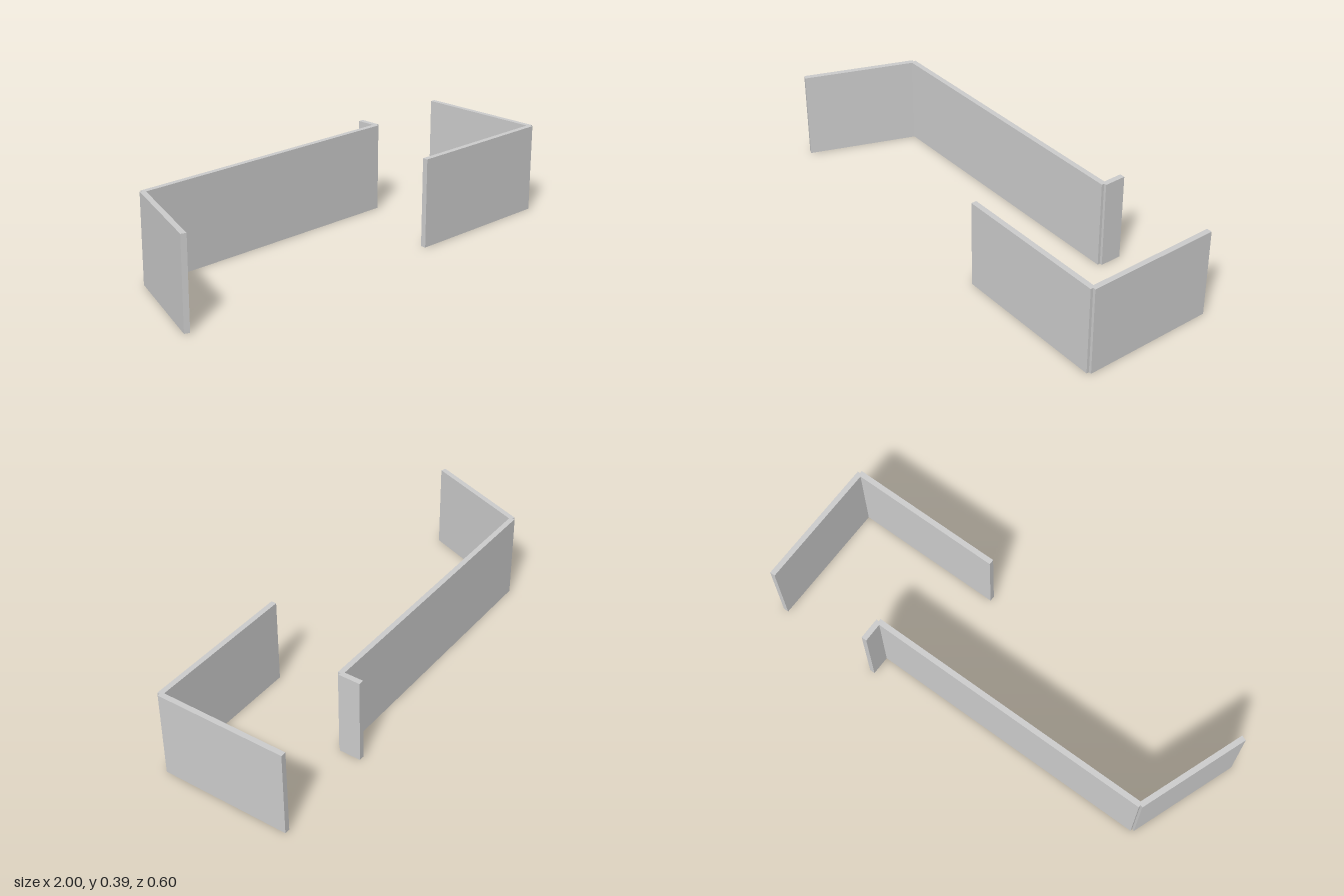
import * as THREE from 'three';

const HEIGHT = 0.394;
const THICKNESS = 0.024;

export function createModel() {
  const model = new THREE.Group();
  model.name = 'wallLayout';
  const plaster = new THREE.MeshStandardMaterial({ color: 0xcccccc });
  plaster.name = 'light grey plaster';

  // Straight wall centred on the floor line from (x1, z1) to (x2, z2)
  function addWall(name, x1, z1, x2, z2) {
    const dx = x2 - x1, dz = z2 - z1;
    const wall = new THREE.Mesh(new THREE.BoxGeometry(Math.hypot(dx, dz), HEIGHT, THICKNESS), plaster);
    wall.name = name;
    wall.position.set((x1 + x2) / 2, HEIGHT / 2, (z1 + z2) / 2);
    wall.rotation.y = -Math.atan2(dz, dx);
    model.add(wall);
  }

  // Long back run with a slanted wing and a short return
  addWall('slantedWing', -0.988, 0.272, -0.812, -0.202);
  addWall('backWall', -0.812, -0.202, 0.5, -0.202);
  addWall('shortReturn', 0.5, -0.202, 0.5, -0.3);

  // Separate L-shaped corner
  addWall('frontWall', 0.285, 0.288, 0.988, 0.288);
  addWall('sideWall', 0.988, 0.288, 0.988, -0.3);

  return model;
}
